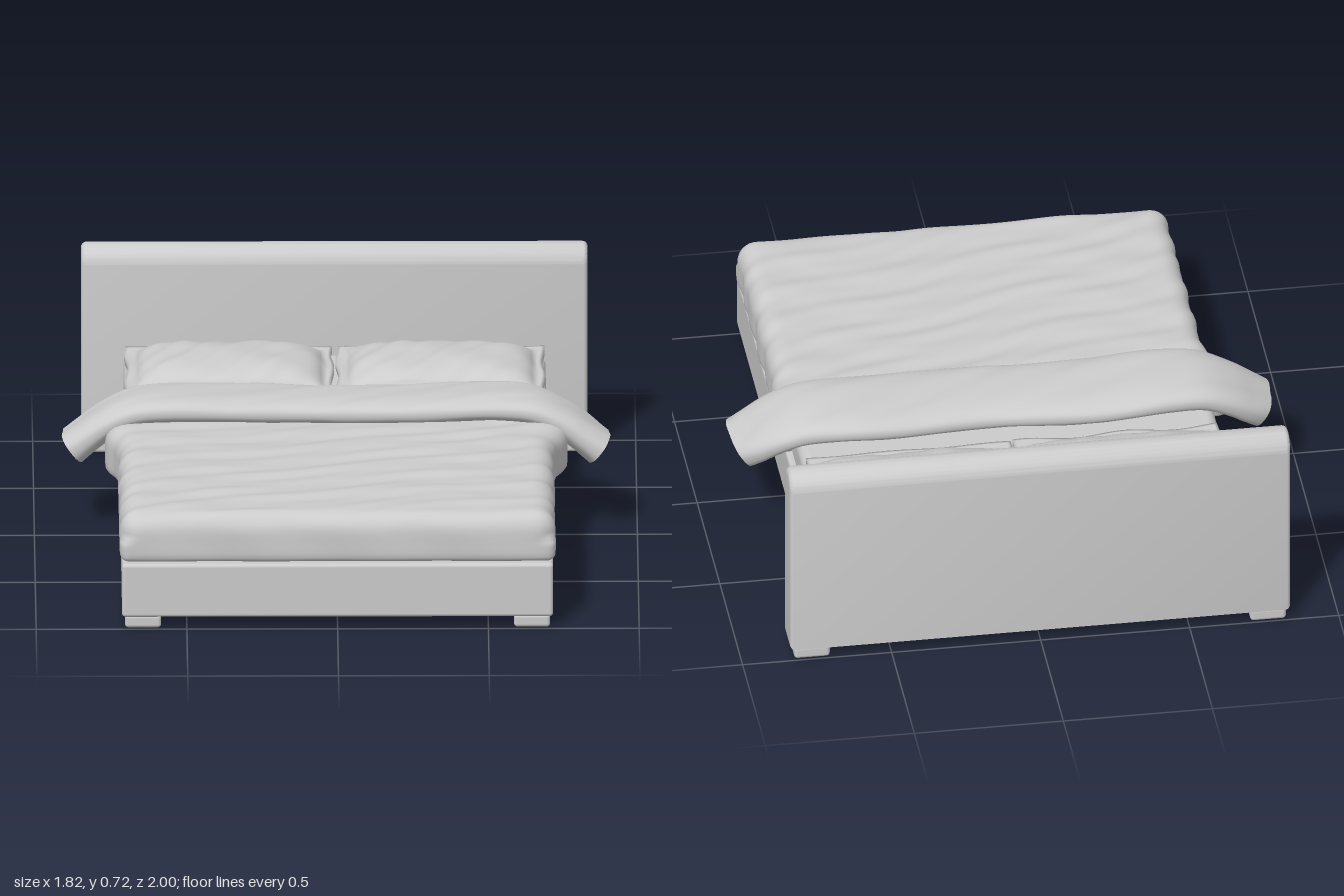
import * as THREE from 'three';
import { mergeVertices, toCreasedNormals } from 'three/addons/utils/BufferGeometryUtils.js';
import { RoundedBoxGeometry } from 'three/addons/geometries/RoundedBoxGeometry.js';

const { sin, cos, abs, sign, pow, max, min } = Math;
const { clamp, smoothstep } = THREE.MathUtils;
const grey = new THREE.MeshStandardMaterial({ color: 0xcccccc });
const cloth = new THREE.MeshStandardMaterial({ color: 0xcccccc, side: THREE.DoubleSide });

function addMesh(parent, name, geometry, x, y, z, material = grey) {
  const mesh = new THREE.Mesh(geometry, material);
  mesh.name = name;
  mesh.position.set(x, y, z);
  parent.add(mesh);
  return mesh;
}

// Moves every vertex by a rule, then welds the surface for smooth shading
function sculpt(geometry, rule) {
  geometry.deleteAttribute('normal');
  geometry.deleteAttribute('uv');
  const welded = mergeVertices(geometry, 1e-5);
  const pos = welded.attributes.position;
  const p = new THREE.Vector3();
  for (let i = 0; i < pos.count; i++) {
    rule(p.fromBufferAttribute(pos, i));
    pos.setXYZ(i, p.x, p.y, p.z);
  }
  welded.computeVertexNormals();
  return welded;
}

// Long uneven folds running mostly across the bed
function wrinkle(x, z) {
  return 0.5 * sin(44 * z + 9 * x + 1.6 * sin(4 * x + 5 * z))
    + 0.3 * sin(27 * z - 5 * x + 2 * sin(6 * x))
    + 0.2 * sin(75 * z + 21 * x + 2 * sin(9 * x - 3 * z));
}

// Headboard: upright slab with a half-round top edge and softened ends
function headboardGeometry() {
  const bevel = 0.018, r = 0.065 - bevel, length = 1.68 - 2 * bevel;
  const shape = new THREE.Shape();
  shape.moveTo(-r, bevel);
  shape.lineTo(r, bevel);
  shape.lineTo(r, 0.61);
  shape.absarc(0, 0.61, r, 0, Math.PI, false);
  shape.lineTo(-r, bevel);
  const geo = new THREE.ExtrudeGeometry(shape, {
    depth: length, curveSegments: 20, bevelSize: bevel, bevelThickness: bevel, bevelSegments: 5,
  });
  geo.translate(0, 0, -length / 2).rotateY(Math.PI / 2);
  return toCreasedNormals(geo, 0.6);
}

// Duvet: padded box with rounded edges, creased top and a flare beside the fold
function duvetGeometry() {
  const w = 0.72, h = 0.083, d = 0.545, r = 0.065;
  const inner = new THREE.Vector3();
  return sculpt(new THREE.BoxGeometry(2 * w, 2 * h, 2 * d, 80, 10, 90), (p) => {
    const lowR = p.y < 0 ? 0.025 : r;
    inner.set(clamp(p.x, -w + lowR, w - lowR), clamp(p.y, -h + lowR, h - lowR), clamp(p.z, -d + lowR, d - lowR));
    const dir = p.clone().sub(inner).normalize();
    p.copy(inner).addScaledVector(dir, lowR);
    const fold = wrinkle(p.x, p.z);
    if (p.y > -0.03) p.y += 0.005 * fold * max(dir.y, 0);
    p.x += 0.005 * dir.x * fold;
    p.z += 0.004 * dir.z * sin(17 * p.x + 12 * p.y);
    p.x += sign(p.x) * 0.045 * smoothstep(abs(p.x), 0.6, 0.72) * (1 - smoothstep(p.z, -0.45, -0.25));
  });
}

// Pillow: flat wavy border around a plump, creased centre
function pillowGeometry(phase) {
  return sculpt(new THREE.BoxGeometry(0.685, 0.022, 0.495, 70, 1, 52), (p) => {
    const u = min(1, abs(p.x) / 0.308), v = min(1, abs(p.z) / 0.208);
    const puff = pow((1 - pow(u, 4)) * (1 - pow(v, 2.6)), 0.55);
    const edge = 0.004 * sin(19 * p.x + phase) * sin(23 * p.z + phase);
    if (p.y > 0) {
      const crease = sin(48 * p.x + 40 * p.z + phase + 1.5 * sin(8 * p.x - 6 * p.z));
      p.y += edge + 0.068 * puff + 0.0035 * crease * puff;
    }
    p.x += 0.005 * sin(21 * p.z + phase) * smoothstep(abs(p.x), 0.3, 0.34);
    p.z += 0.005 * sin(18 * p.x + phase) * smoothstep(abs(p.z), 0.2, 0.24);
  });
}

// Turned-down fold: a hollow flattened roll that droops past both bed sides
function foldGeometry() {
  const half = [[0.3, 0.412], [0.55, 0.418], [0.67, 0.405], [0.76, 0.363], [0.82, 0.32], [0.872, 0.28]];
  const points = [...half.map(([x, y]) => [-x, y]).reverse(), [0, 0.41], ...half];
  const curve = new THREE.CatmullRomCurve3(points.map(([x, y]) => new THREE.Vector3(x, y, 0)));
  const along = 110, around = 48, positions = [], index = [];
  for (let i = 0; i <= along; i++) {
    const c = curve.getPointAt(i / along), t = curve.getTangentAt(i / along);
    const end = pow(abs(c.x) / 0.872, 8);
    const front = 0.018 + 0.012 * sin(3 * c.x) * end + 0.005 * sin(9 * c.x);
    const back = -0.3 + 0.085 * end + 0.012 * sin(8 * c.x + 1);
    const thick = 0.046 + 0.01 * end;
    for (let j = 0; j <= around; j++) {
      const a = (j % around) / around * 2 * Math.PI;
      const ca = cos(a), sa = sin(a);
      const z = (front + back) / 2 + (front - back) / 2 * sign(ca) * pow(abs(ca), 0.75);
      let n = thick * sign(sa) * pow(abs(sa), 0.8);
      n += 0.004 * sa * wrinkle(c.x * 0.7, z + 0.3 * c.x);
      n += 0.05 * (z + 0.14);
      positions.push(c.x - t.y * n, c.y + t.x * n, z);
      if (i < along && j < around) {
        const k = i * (around + 1) + j, m = k + around + 1;
        index.push(k, m, k + 1, k + 1, m, m + 1);
      }
    }
  }
  const geo = new THREE.BufferGeometry();
  geo.setAttribute('position', new THREE.Float32BufferAttribute(positions, 3));
  geo.setIndex(index);
  const welded = mergeVertices(geo, 1e-5);
  // Outward winding check by the highest vertex of the roll
  welded.computeVertexNormals();
  const pos = welded.attributes.position;
  let top = 0;
  for (let i = 1; i < pos.count; i++) if (pos.getY(i) > pos.getY(top)) top = i;
  if (welded.attributes.normal.getY(top) < 0) {
    welded.setIndex([...welded.index.array].reverse());
    welded.computeVertexNormals();
  }
  return welded;
}

export function createModel() {
  const bed = new THREE.Group();
  bed.name = 'bed';

  addMesh(bed, 'headboard', headboardGeometry(), 0, 0.04, -0.935);
  addMesh(bed, 'base', new RoundedBoxGeometry(1.43, 0.185, 1.855, 4, 0.012), 0, 0.1325, 0.0725);
  addMesh(bed, 'mattress', new RoundedBoxGeometry(1.4, 0.135, 1.82, 5, 0.035), 0, 0.2905, 0.065);

  // Front feet under the base, rear feet under the headboard
  for (const side of [1, -1]) {
    const label = side > 0 ? 'left' : 'right';
    addMesh(bed, label + 'FrontFoot', new RoundedBoxGeometry(0.12, 0.045, 0.12, 3, 0.012), side * 0.645, 0.0225, 0.93);
    addMesh(bed, label + 'RearFoot', new RoundedBoxGeometry(0.12, 0.045, 0.12, 3, 0.012), side * 0.765, 0.0225, -0.935);
    addMesh(bed, label + 'Pillow', pillowGeometry(side > 0 ? 0.4 : 2.1), side * 0.35, 0.366, -0.608);
  }

  addMesh(bed, 'duvet', duvetGeometry(), 0, 0.309, 0.445);
  addMesh(bed, 'duvetFold', foldGeometry(), 0, 0, 0, cloth);
  return bed;
}
